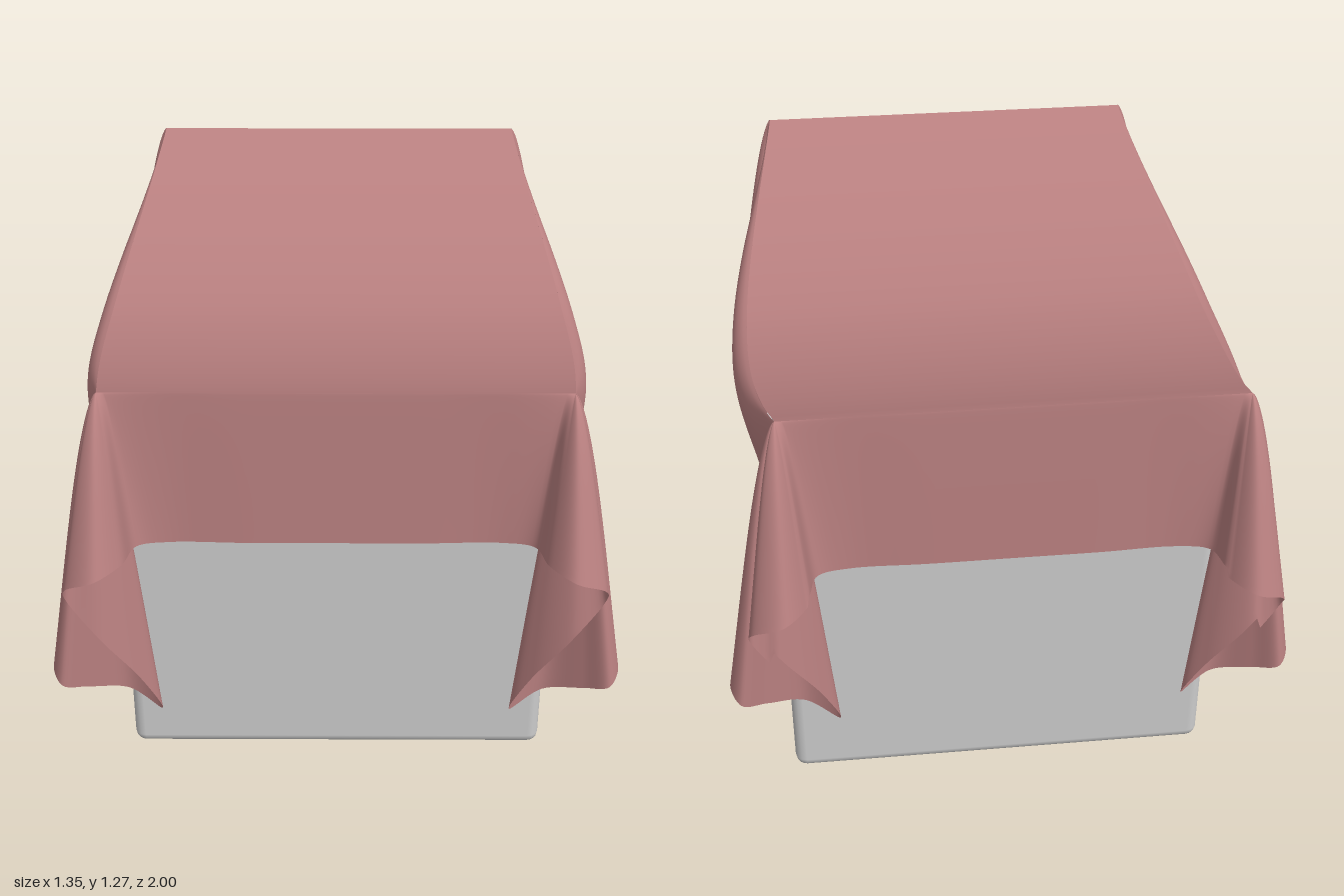
import * as THREE from 'three';
import { RoundedBoxGeometry } from 'three/addons/geometries/RoundedBoxGeometry.js';

const HALF_Z = 0.82, HALF_X = 0.52;
const bow = (z) => Math.cos((Math.PI / 2) * Math.min(1, Math.abs(z) / HALF_Z));

// Top sheet: bows outward and sags between the raised front and back edges
const edgeX = (z) => HALF_X + 0.08 * bow(z);
const sagY = (z) => 1.045 + (z > 0 ? 0.205 : 0.23) * Math.pow(Math.abs(z) / HALF_Z, 1.8);

// Hem of one quarter, front centre to side centre: x, y, z, s
// s is the place on the top edge: 0 front centre, 1 corner, 2 side centre
const HEM = [
  [0, 0.868, 0.83, 0], [0.2, 0.868, 0.83, 0.4], [0.38, 0.87, 0.83, 0.76],
  [0.45, 0.875, 0.855, 0.97], [0.475, 0.88, 0.94, 1], [0.53, 0.87, 0.995, 1],
  [0.6, 0.83, 0.965, 1], [0.61, 0.77, 0.92, 1], [0.54, 0.66, 0.92, 1],
  [0.46, 0.52, 0.88, 1], [0.42, 0.39, 0.83, 1], [0.5, 0.42, 0.79, 1],
  [0.59, 0.455, 0.83, 1], [0.65, 0.485, 0.865, 1], [0.675, 0.51, 0.815, 1],
  [0.65, 0.505, 0.765, 1], [0.595, 0.49, 0.755, 1.01], [0.56, 0.485, 0.7, 1.12],
  [0.565, 0.48, 0.58, 1.3], [0.58, 0.478, 0.4, 1.52],
  [0.585, 0.478, 0.2, 1.76], [0.585, 0.478, 0, 2],
];
const PER = 8, ROWS = 40;
const hemCurve = new THREE.CatmullRomCurve3(HEM.map(([x, y, z]) => new THREE.Vector3(x, y, z)));

// One column of the skirt, from the top edge down to the hem
function column(i, sx, sz) {
  const last = HEM.length - 1;
  const k = Math.min(last - 1, Math.floor(i / PER));
  const s = THREE.MathUtils.lerp(HEM[k][3], HEM[k + 1][3], i / PER - k);
  const hem = hemCurve.getPoint(i / (PER * last));
  // the back folds hang a little differently from the front ones
  if (sz < 0 && s >= 1) hem.y += 0.02 * (hem.z / HALF_Z) * (hem.y > 0.7 ? -1 : 1);

  const z = s <= 1 ? HALF_Z : HALF_Z * (2 - s);
  const top = new THREE.Vector3(s <= 1 ? HALF_X * s : edgeX(z), sagY(z * sz), z);
  const pts = [];
  for (let j = 0; j <= ROWS; j++) {
    const t = Math.pow(j / ROWS, 1.5);
    const p = top.clone().lerp(hem, t);
    // soft shoulder on the folds, and a swag under the side edge
    const shoulder = 0.12 * Math.sin(Math.PI * Math.sqrt(t));
    p.x += (hem.x - top.x) * shoulder;
    p.z += (hem.z - top.z) * shoulder;
    if (s > 1 && t < 0.34) p.x += 0.045 * bow(z) * Math.sin(Math.PI * Math.pow(t / 0.34, 0.6));
    pts.push(p.x * sx, p.y, p.z * sz - (sz < 0 ? 0.005 : 0));
  }
  return pts;
}

function skirtGeometry() {
  const n = (HEM.length - 1) * PER;
  const pos = [], index = [];
  for (const [sx, sz, reverse] of [[1, 1, false], [1, -1, true], [-1, -1, false], [-1, 1, true]])
    for (let i = 0; i < n; i++) pos.push(...column(reverse ? n - i : i, sx, sz));
  const cols = 4 * n, h = ROWS + 1;
  for (let i = 0; i < cols; i++)
    for (let j = 0; j < ROWS; j++) {
      const a = i * h + j, b = ((i + 1) % cols) * h + j;
      index.push(a, a + 1, b, b, a + 1, b + 1);
    }
  const g = new THREE.BufferGeometry();
  g.setAttribute('position', new THREE.Float32BufferAttribute(pos, 3));
  g.setIndex(index);
  g.computeVertexNormals();
  return g;
}

function topGeometry() {
  const g = new THREE.PlaneGeometry(2, 2 * HALF_Z, 30, 60).rotateX(-Math.PI / 2);
  const p = g.attributes.position;
  for (let i = 0; i < p.count; i++) {
    const z = p.getZ(i);
    p.setXYZ(i, p.getX(i) * edgeX(z), sagY(z), z < -HALF_Z + 1e-4 ? z - 0.005 : z);
  }
  g.computeVertexNormals();
  return g;
}

// Four-sided flare, narrow below and wide above
function flareGeometry(low, high, height) {
  const g = new THREE.CylinderGeometry(high * Math.SQRT2, low * Math.SQRT2, height, 4, 1);
  return g.rotateY(Math.PI / 4).toNonIndexed();
}

export function createModel() {
  const group = new THREE.Group();
  const grey = new THREE.MeshStandardMaterial({ color: 0xcccccc });
  const cloth = new THREE.MeshStandardMaterial({ color: 0xb98080, side: THREE.DoubleSide });
  const add = (name, geometry, material, parent = group) => {
    const mesh = new THREE.Mesh(geometry, material);
    mesh.name = name;
    parent.add(mesh);
    return mesh;
  };

  // Block under the cloth, with a flared rim near its top
  add('block', new RoundedBoxGeometry(1.09, 0.96, 1.09, 2, 0.03), grey).position.set(0, 0.48, -0.045);
  const rim = add('rim', flareGeometry(0.54, 0.56, 0.045), grey);
  rim.geometry.computeVertexNormals();
  rim.position.set(0, 0.8525, -0.045);

  // Draped cloth
  const drape = new THREE.Group();
  drape.name = 'drapedCloth';
  group.add(drape);
  add('clothTop', topGeometry(), cloth, drape);
  add('clothSkirt', skirtGeometry(), cloth, drape);
  return group;
}
